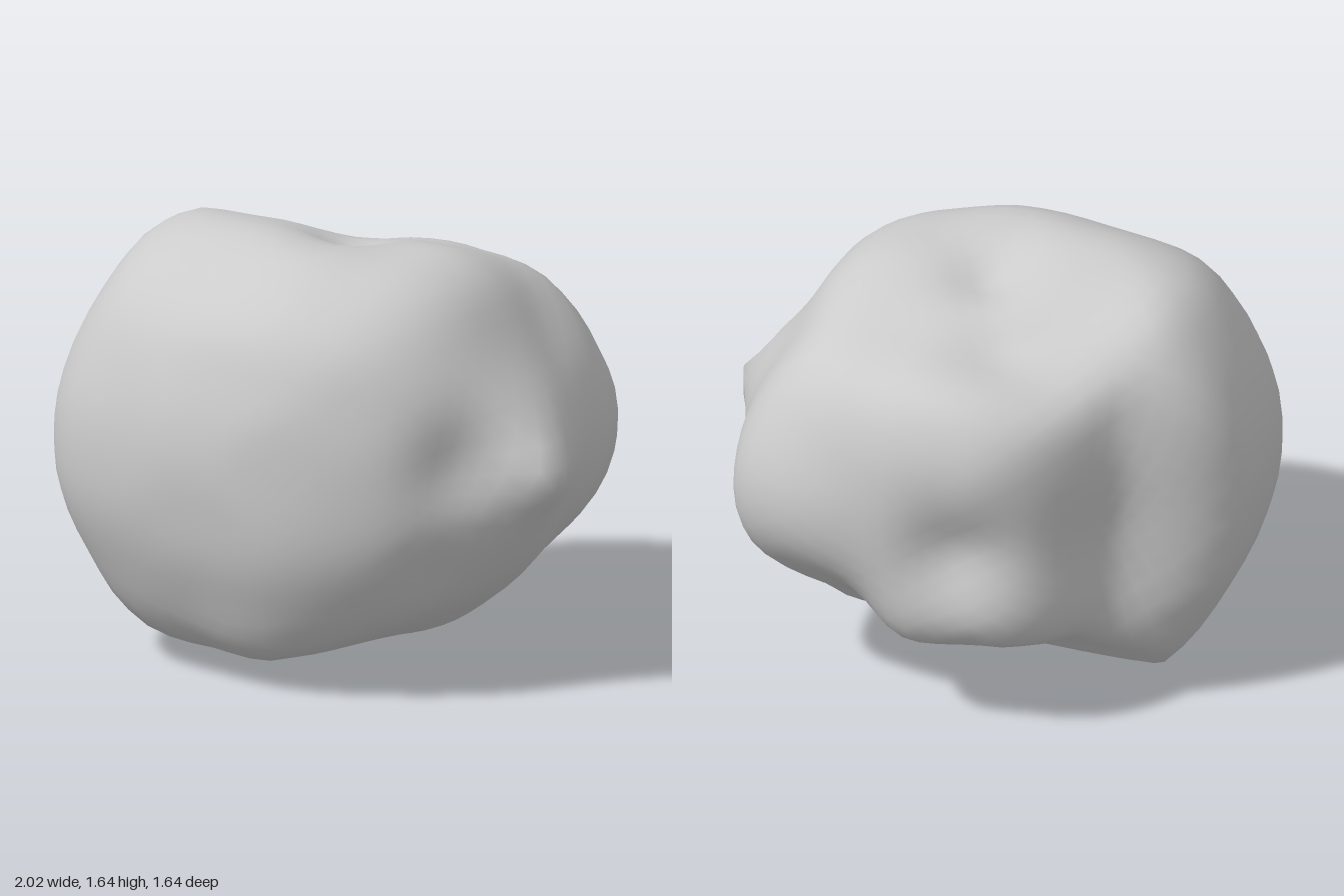
import * as THREE from 'three';
import { mergeVertices } from 'three/addons/utils/BufferGeometryUtils.js';

const CY = 0.82; // height of the boulder's middle

// Outlines around the middle: front (x, y), side (z, y) and plan (x, z)
const front = [
  [-1, 0.86], [-0.98, 1.06], [-0.92, 1.25], [-0.85, 1.4], [-0.73, 1.58], [-0.5, 1.64], [-0.18, 1.65],
  [0, 1.61], [0.24, 1.6], [0.44, 1.59], [0.59, 1.5], [0.68, 1.34], [0.75, 1.2], [0.81, 1.05],
  [0.83, 0.86], [0.81, 0.68], [0.77, 0.53], [0.68, 0.37], [0.55, 0.25], [0.44, 0.16], [0.3, 0.1],
  [0.14, 0.11], [0, 0.08], [-0.2, 0.04], [-0.4, -0.01], [-0.61, 0.01], [-0.76, 0.15], [-0.85, 0.31],
  [-0.94, 0.5], [-0.98, 0.7]].map(([x, y]) => [x, y - CY]);
const side = [
  [0.82, 0.86], [0.81, 1.03], [0.76, 1.22], [0.7, 1.39], [0.54, 1.53], [0.26, 1.65], [0.08, 1.62],
  [-0.2, 1.55], [-0.42, 1.46], [-0.72, 1.38], [-0.8, 1.2], [-0.82, 1], [-0.82, 0.7],
  [-0.79, 0.48], [-0.69, 0.37], [-0.42, 0.33], [-0.2, 0.2], [-0.09, 0.1], [0.1, -0.01], [0.4, 0.04],
  [0.61, 0.12], [0.71, 0.35], [0.8, 0.7]].map(([z, y]) => [z, y - CY]);
const plan = [
  [-0.99, -0.1], [-0.86, -0.23], [-0.65, -0.32], [-0.58, -0.46], [-0.44, -0.65], [-0.2, -0.82],
  [0.2, -0.81], [0.51, -0.82], [0.76, -0.71], [0.82, -0.48], [0.82, -0.28], [0.83, -0.1], [0.83, 0.14],
  [0.8, 0.27], [0.74, 0.43], [0.62, 0.57], [0.46, 0.68], [0.28, 0.76], [0.1, 0.8], [-0.04, 0.82],
  [-0.4, 0.8], [-0.58, 0.77], [-0.8, 0.69], [-0.94, 0.5], [-1, 0.22]];

// Bumps (+) and hollows (-): centre direction, height, angular width
const relief = [
  [1, 0.05, 0.04, 0.13, 0.32],        // broad ridge on the side
  [1, 0.04, 0.14, 0.085, 0.12],       // its corner
  [0.76, -0.3, 0, 0.025, 0.22],       // ridge running down from it
  [0.72, 0.1, 0.36, -0.07, 0.22],     // valley in front of the ridge
  [0.62, -0.3, 0.35, -0.04, 0.22],    // valley, lower part
  [0, 0.7, -0.05, -0.09, 0.2],        // top
  [-0.15, 0.65, -0.4, -0.04, 0.2],    // top, toward the back
  [-0.43, 0.58, -0.33, -0.08, 0.38],  // upper back corner
  [-0.13, -0.04, -0.72, -0.12, 0.25], // back
  [-0.5, -0.05, -0.42, -0.05, 0.35],  // slope beside the back hollow
  [0.33, -0.32, -0.5, -0.14, 0.28],   // under the back
  [0.07, -0.39, -0.57, 0.04, 0.2],    // swelling beside it
  [-0.65, -0.4, -0.4, -0.04, 0.3],    // lower back corner
  [0.3, -0.68, 0.3, -0.06, 0.38],     // underside, toward the front
].map(([x, y, z, height, width]) => ({ dir: new THREE.Vector3(x, y, z).normalize(), height, width }));

// Radius of an outline as a function of angle, slightly rounded
function radial(points) {
  const list = points.map(([a, b]) => [Math.atan2(b, a), Math.hypot(a, b)]).sort((p, q) => p[0] - q[0]);
  const n = list.length, turn = Math.PI * 2;
  const ring = [...list.map(([t, r]) => [t - turn, r]), ...list, ...list.map(([t, r]) => [t + turn, r])];
  const at = (t) => {
    let i = n - 1;
    while (ring[i][0] < t) i++;
    const [t0, r0] = ring[i - 1], [t1, r1] = ring[i];
    return r0 + (r1 - r0) * (t - t0) / (t1 - t0);
  };
  return (a, b) => {
    const t = Math.atan2(b, a);
    return (at(t - 0.1) + 2 * at(t - 0.05) + 3 * at(t) + 2 * at(t + 0.05) + at(t + 0.1)) / 9;
  };
}

const smoothMin = (a, b) => 0.5 * (a + b - Math.sqrt((a - b) ** 2 + 0.0005));

export function createModel() {
  const group = new THREE.Group();
  group.name = 'boulder';
  const rFront = radial(front), rSide = radial(side), rPlan = radial(plan);

  let geometry = new THREE.IcosahedronGeometry(1, 12);
  geometry.deleteAttribute('uv');
  geometry.deleteAttribute('normal');
  geometry = mergeVertices(geometry, 1e-4);

  // Blend the three outlines over the sphere, keep inside each of them, then add the relief
  const pos = geometry.attributes.position;
  const d = new THREE.Vector3();
  for (let i = 0; i < pos.count; i++) {
    d.fromBufferAttribute(pos, i).normalize();
    const rings = [
      [rFront(d.x, d.y), d.z], [rSide(d.z, d.y), d.x], [rPlan(d.x, d.z), d.y]];
    let sum = 0, total = 0, hull = Infinity;
    for (const [r, off] of rings) {
      const w = 1 / (off * off + 0.03);
      sum += w * r;
      total += w;
      hull = Math.min(hull, r / Math.sqrt(Math.max(1 - off * off, 1e-6)));
    }
    let r = smoothMin(1.02 * sum / total, hull + 0.008);
    for (const { dir, height, width } of relief) {
      r += height * Math.exp(-((d.angleTo(dir) / width) ** 2));
    }
    pos.setXYZ(i, d.x * r, d.y * r, d.z * r);
  }

  // Stand on the ground
  geometry.center();
  geometry.translate(0, -geometry.boundingBox.min.y, 0);
  geometry.computeVertexNormals();

  const rock = new THREE.Mesh(geometry, new THREE.MeshStandardMaterial({ color: 0xcccccc }));
  rock.name = 'rock';
  group.add(rock);
  return group;
}
